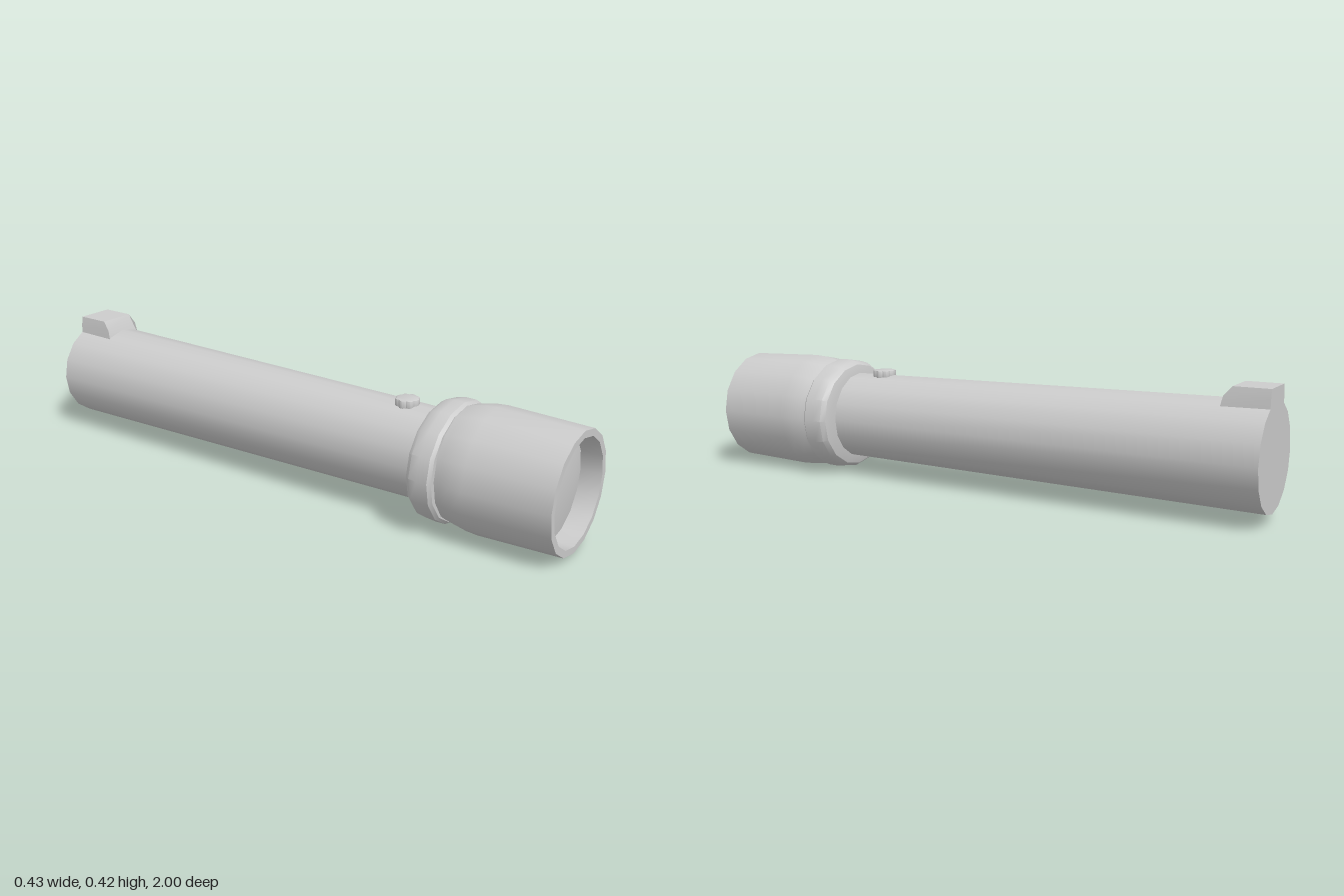
import * as THREE from 'three';
import { toCreasedNormals } from 'three/addons/utils/BufferGeometryUtils.js';

const SIDES = 16;
const AXIS_Y = 0.206;

export function createModel() {
  const group = new THREE.Group();
  const material = new THREE.MeshStandardMaterial({ color: 0xcccccc });

  function add(name, geometry) {
    const mesh = new THREE.Mesh(toCreasedNormals(geometry, 0.6), material);
    mesh.name = name;
    group.add(mesh);
    return mesh;
  }

  // Turned part along z; profile points are [radius, z], from back to front
  function turned(name, profile, widthScale = 1) {
    const geometry = new THREE.LatheGeometry(profile.map(([r, z]) => new THREE.Vector2(r, z)), SIDES);
    geometry.rotateX(Math.PI / 2);
    geometry.scale(widthScale, 1, 1);
    geometry.translate(0, AXIS_Y, 0);
    return add(name, geometry);
  }

  // Tapered handle, closed at the back
  turned('handle', [[0, -1], [0.173, -1], [0.151, 0.54], [0, 0.54]], 0.98);

  // Rounded collar between handle and head
  turned('collar', [
    [0, 0.522], [0.155, 0.522], [0.182, 0.53], [0.193, 0.545],
    [0.198, 0.575], [0.197, 0.61], [0.188, 0.62], [0, 0.62],
  ], 1.075);

  // Head with rim and wall of the recess
  turned('head', [
    [0, 0.61], [0.185, 0.61], [0.194, 0.64], [0.202, 0.68], [0.205, 0.72],
    [0.196, 1], [0.173, 1], [0.173, 0.93],
  ], 0.985);

  // Slightly domed lens at the bottom of the recess
  turned('lens', [[0.173, 0.93], [0.12, 0.938], [0.06, 0.943], [0, 0.945]], 0.985);

  // Scalloped switch button
  const outline = [];
  for (let i = 0; i < 64; i++) {
    const a = (i / 64) * Math.PI * 2;
    const r = 0.031 + 0.006 * Math.abs(Math.cos(a * 4));
    outline.push(new THREE.Vector2(Math.cos(a) * r, Math.sin(a) * r));
  }
  const button = new THREE.ExtrudeGeometry(new THREE.Shape(outline), {
    depth: 0.022, bevelThickness: 0.004, bevelSize: 0.003, bevelSegments: 2,
  });
  button.rotateX(-Math.PI / 2);
  button.translate(0, 0.35, 0.41);
  add('switchButton', button);

  // Tail lug: section across x, flared foot, with a sloping front
  const lugShape = new THREE.Shape();
  lugShape.moveTo(-0.073, 0.34);
  lugShape.lineTo(-0.07, 0.39);
  lugShape.lineTo(-0.065, 0.42);
  lugShape.lineTo(0.065, 0.42);
  lugShape.lineTo(0.07, 0.39);
  lugShape.lineTo(0.073, 0.34);
  const lug = new THREE.ExtrudeGeometry(lugShape, { depth: 0.15, bevelEnabled: false });
  const p = lug.attributes.position;
  for (let i = 0; i < p.count; i++) {
    const front = p.getZ(i) > 0.01;
    const rise = Math.max(0, p.getY(i) - 0.375);
    p.setZ(i, front ? -0.845 - rise * 0.85 : -1);
  }
  add('tailLug', lug);

  return group;
}
